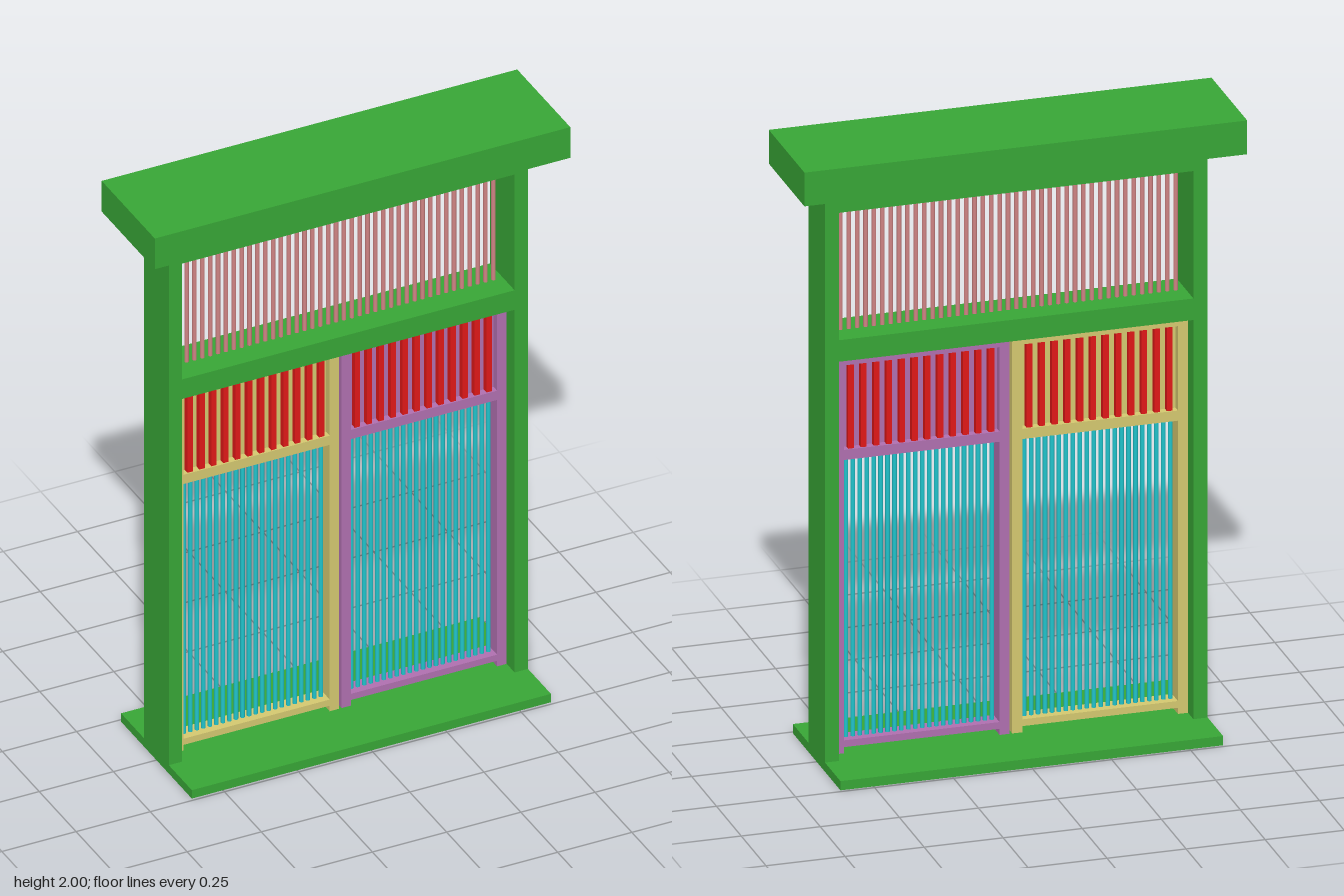
import * as THREE from 'three';

const material = (color) => new THREE.MeshStandardMaterial({ color });
const green = material(0x38a636);
const yellow = material(0xd4c870);
const purple = material(0xb070b0);
const red = material(0xe01818);
const cyan = material(0x20c4cc);
const pink = material(0xd08484);

// Box given by its extents in x and y, centred on z = 0
function slab(parent, name, mat, x0, x1, y0, y1, depth) {
  const mesh = new THREE.Mesh(new THREE.BoxGeometry(x1 - x0, y1 - y0, depth), mat);
  mesh.position.set((x0 + x1) / 2, (y0 + y1) / 2, 0);
  mesh.name = name;
  parent.add(mesh);
}

// Evenly spaced upright round bars, first and last centred on x0 and x1
function roundBars(parent, name, mat, count, x0, x1, y0, y1, radius) {
  const bars = new THREE.Group();
  bars.name = name;
  const geometry = new THREE.CylinderGeometry(radius, radius, y1 - y0, 10, 1, true);
  for (let i = 0; i < count; i++) {
    const bar = new THREE.Mesh(geometry, mat);
    bar.name = 'bar';
    bar.position.set(x0 + ((x1 - x0) * i) / (count - 1), (y0 + y1) / 2, 0);
    bars.add(bar);
  }
  parent.add(bars);
}

// One door leaf: stiles, rails, slatted upper panel and barred lower opening
function doorLeaf(name, mat, x0, x1) {
  const leaf = new THREE.Group();
  leaf.name = name;
  const depth = 0.06;
  const a = x0 + 0.032, b = x1 - 0.032;
  slab(leaf, 'stile', mat, x0, a, 0.03, 1.33, depth);
  slab(leaf, 'stile', mat, b, x1, 0.03, 1.33, depth);
  slab(leaf, 'topRail', mat, a, b, 1.293, 1.33, depth);
  slab(leaf, 'middleRail', mat, a, b, 0.985, 1.018, depth);
  slab(leaf, 'bottomRail', mat, a, b, 0.05, 0.072, depth);
  slab(leaf, 'upperPanel', mat, a, b, 1.018, 1.293, 0.01);

  // Red slats standing out on both faces of the panel
  const count = 12;
  for (let i = 0; i < count; i++) {
    const x = a + 0.024 + ((b - a - 0.048) * i) / (count - 1);
    slab(leaf, 'slat', red, x - 0.009, x + 0.009, 1.018, 1.293, 0.05);
  }
  roundBars(leaf, 'lowerBars', cyan, 22, a + 0.015, b - 0.015, 0.072, 0.985, 0.007);
  return leaf;
}

export function createModel() {
  const gate = new THREE.Group();
  gate.name = 'gate';

  // Base and roof
  slab(gate, 'base', green, -0.605, 0.605, 0, 0.03, 0.48);
  slab(gate, 'roof', green, -0.7, 0.7, 1.89, 2, 0.36);

  // Outer frame
  for (const side of [-1, 1]) {
    const inner = 0.56 * side, outer = 0.605 * side;
    slab(gate, side > 0 ? 'leftPost' : 'rightPost', green,
      Math.min(inner, outer), Math.max(inner, outer), 0.03, 1.89, 0.168);
  }
  slab(gate, 'lintel', green, -0.56, 0.56, 1.815, 1.89, 0.168);
  slab(gate, 'transom', green, -0.56, 0.56, 1.33, 1.4, 0.168);

  // Barred opening above the doors
  roundBars(gate, 'transomBars', pink, 41, -0.53, 0.53, 1.4, 1.815, 0.007);

  // Pair of doors with a narrow gap between them
  gate.add(doorLeaf('rightDoor', yellow, -0.56, -0.004));
  gate.add(doorLeaf('leftDoor', purple, 0.004, 0.56));
  return gate;
}
